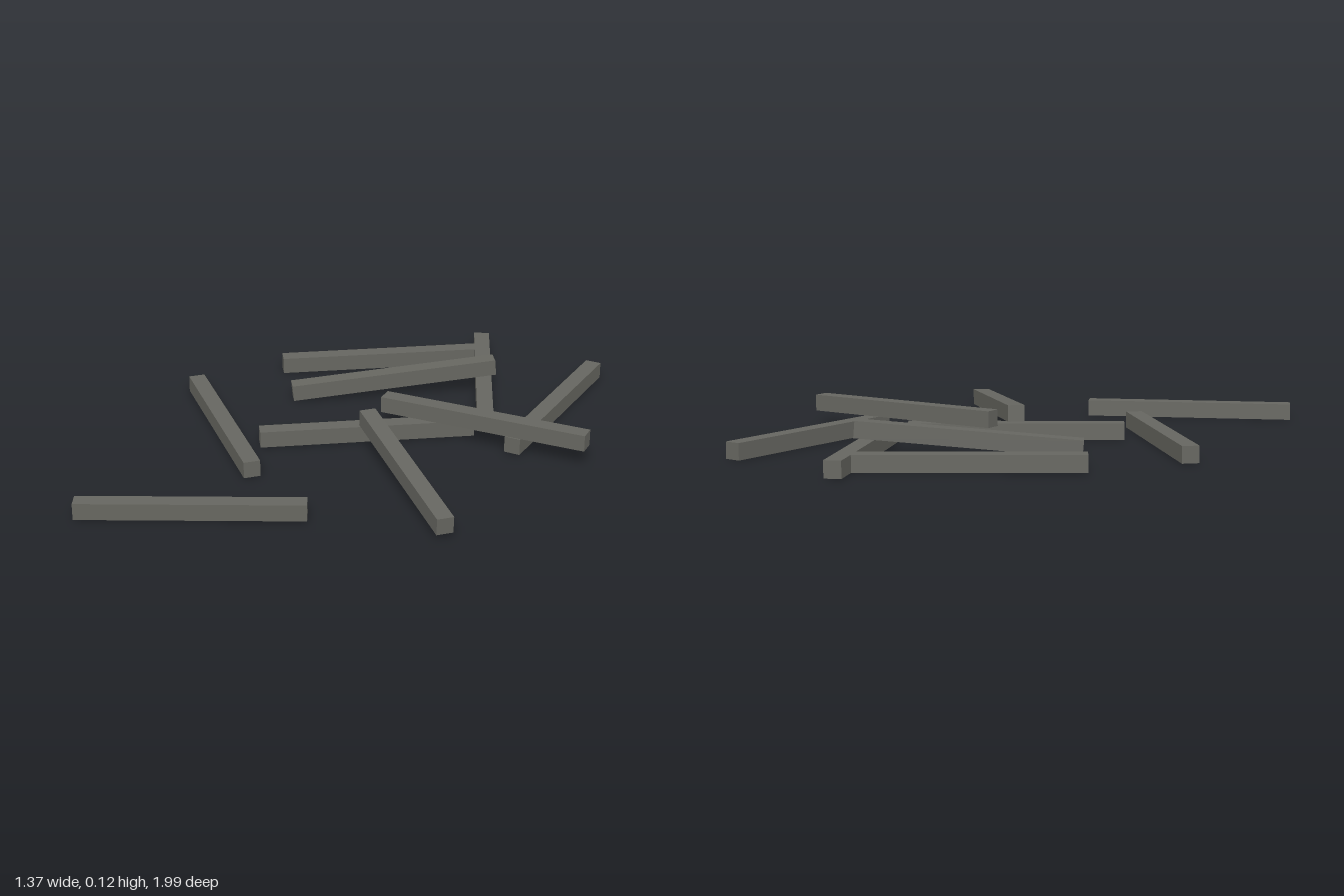
import * as THREE from 'three';

const THICK = 0.055;
const LENGTH = 0.718;

export function createModel() {
  const group = new THREE.Group();
  group.name = 'scatteredBeams';
  const wood = new THREE.MeshStandardMaterial({ color: 0x666660 });
  wood.name = 'grey wood';
  const beamGeometry = new THREE.BoxGeometry(THICK, THICK, LENGTH);

  // One square beam laid along the line between two end centres
  function addBeam(name, from, to) {
    const a = new THREE.Vector3(...from);
    const b = new THREE.Vector3(...to);
    const beam = new THREE.Mesh(beamGeometry, wood);
    beam.name = name;
    beam.position.copy(a).add(b).multiplyScalar(0.5);
    beam.lookAt(b);
    group.add(beam);
  }

  const low = THICK / 2; // lying on the ground
  const high = THICK * 1.5; // lying on another beam

  // Beams flat on the ground
  addBeam('backLeftCrossBeam', [-0.212, low, -0.917], [0.267, low, -0.381]);
  addBeam('backRightBeam', [-0.58, low, -0.248], [-0.137, low, -0.812]);
  addBeam('backBeam', [0.252, low, -0.992], [0.45, low, -0.302]);
  addBeam('middleBeam', [-0.192, low, 0.23], [0.252, low, -0.334]);
  addBeam('rightBeam', [-0.672, low, 0.085], [-0.033, low, 0.412]);
  addBeam('frontBeam', [-0.232, low, 0.974], [0.288, low, 0.478]);

  // Beam stacked level on top of two others
  addBeam('stackedBeam', [-0.006, high, -0.175], [0.67, high, -0.413]);

  // Beams leaning with one end raised
  addBeam('leaningBackBeam', [-0.378, 0.029, -0.102], [0.065, 0.09, -0.66]);
  addBeam('leaningLeftBeam', [0.035, 0.083, -0.047], [0.677, 0.039, 0.28]);

  return group;
}
